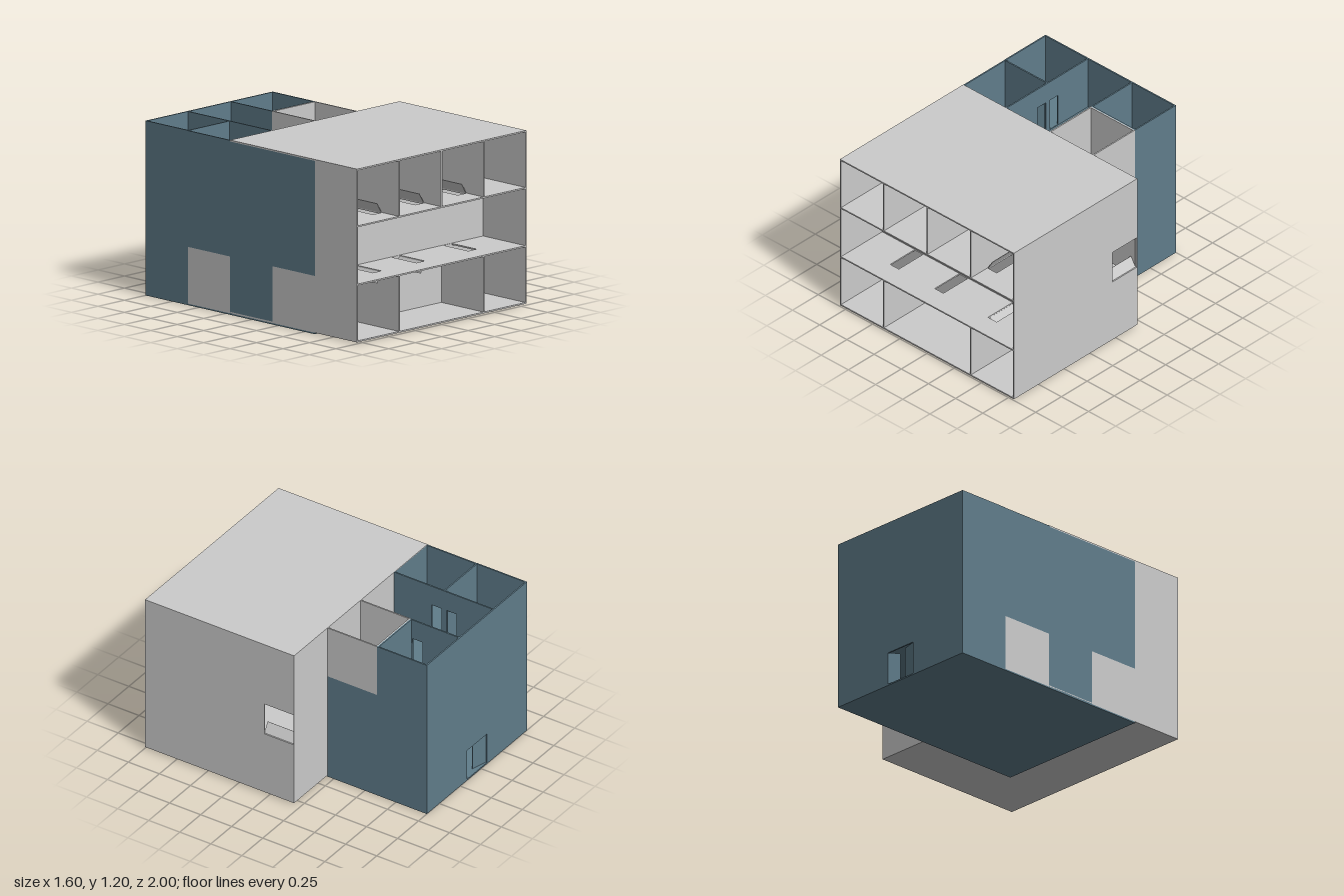
import * as THREE from 'three';

const T = 0.01; // panel thickness
const grey = new THREE.MeshStandardMaterial({ color: 0xcccccc, side: THREE.DoubleSide });
const teal = new THREE.MeshStandardMaterial({ color: 0x607d8b, side: THREE.DoubleSide });

const X = new THREE.Vector3(1, 0, 0), Y = new THREE.Vector3(0, 1, 0), Z = new THREE.Vector3(0, 0, 1);
// u, v and thickness directions for a panel facing each axis
const basis = {
  x: [Z, Y, X.clone().negate()], // u = z, v = y, fills at-T..at
  y: [X, Z, Y.clone().negate()], // u = x, v = z, fills at-T..at
  z: [X, Y, Z],                  // u = x, v = y, fills at..at+T
};

function rect(P, [u0, u1, v0, v1]) {
  const p = new P();
  p.moveTo(u0, v0).lineTo(u1, v0).lineTo(u1, v1).lineTo(u0, v1).closePath();
  return p;
}

export function createModel() {
  const model = new THREE.Group();

  // flat panel with optional rectangular openings
  function panel(name, mat, axis, at, area, holes = []) {
    const path = (P, r) => {
      const p = new P();
      const [u0, u1, v0, v1] = r;
      p.moveTo(u0, v0); p.lineTo(u1, v0); p.lineTo(u1, v1); p.lineTo(u0, v1); p.closePath();
      return p;
    };
    const shape = path(THREE.Shape, area);
    shape.holes = holes.map((h) => path(THREE.Path, h));
    const geo = new THREE.ExtrudeGeometry(shape, { depth: T, bevelEnabled: false });
    geo.applyMatrix4(new THREE.Matrix4().makeBasis(...basis[axis]));
    if (axis === 'x') geo.translate(at, 0, 0);
    if (axis === 'y') geo.translate(0, at, 0);
    if (axis === 'z') geo.translate(0, 0, at);
    const mesh = new THREE.Mesh(geo, mat);
    mesh.name = name;
    model.add(mesh);
  }

  // thin leaf hinged at a point, turned about z (hatch) or y (door)
  function flap(name, mat, axis, pos, deg, len = 0.08) {
    const size = axis === 'z' ? [len, 0.004, 0.24] : [len, 0.24, 0.004];
    const geo = new THREE.BoxGeometry(...size).translate(len / 2, 0, 0);
    const mesh = new THREE.Mesh(geo, mat);
    mesh.name = name;
    mesh.position.set(...pos);
    mesh.rotation[axis] = THREE.MathUtils.degToRad(deg);
    model.add(mesh);
  }

  // hatches: [hinge x, side of the hinge the opening lies on]
  const upper = [[-0.41, -1], [-0.01, -1], [0.39, -1], [0.41, 1]];
  const lower = [[-0.41, -1], [0, -1], [0.41, 1]];
  const slots = (list) => list.map(([x, s]) => [Math.min(x, x + s * 0.08), Math.max(x, x + s * 0.08), 0.605, 0.84]);

  // main block: floors and roof
  panel('groundFloor', grey, 'y', 0.02, [-0.8, 0.8, -0.2, 1]);
  panel('middleFloor', grey, 'y', 0.41, [-0.79, 0.8, -0.19, 1], slots(lower));
  panel('upperFloor', grey, 'y', 0.81, [-0.79, 0.8, -0.19, 1], slots(upper));
  panel('roof', grey, 'y', 1.2, [-0.8, 0.8, -0.2, 1]);
  for (const [x, s] of upper) flap('upperHatch', grey, 'z', [x, 0.81, 0.72], s > 0 ? 60 : 120);
  for (const [x, s] of lower) flap('lowerHatch', grey, 'z', [x, 0.4, 0.72], s > 0 ? -60 : -120);

  // main block: outer walls, with a window in the side
  panel('windowWall', grey, 'x', 0.8, [-0.2, 1, 0.01, 1.19], [[-0.195, 0.04, 0.48, 0.72]]);
  flap('windowLowerFlap', grey, 'z', [0.79, 0.48, -0.075], 120);
  flap('windowUpperFlap', grey, 'z', [0.79, 0.72, -0.075], 205);
  panel('sideWall', grey, 'x', -0.79, [0.6, 1, 0.01, 1.19]);
  panel('backWall', grey, 'z', -0.2, [-0.4, 0.79, 0.01, 1.19]);
  panel('frontRoomsBackWall', grey, 'z', 0.59, [-0.79, 0.79, 0.02, 1.19]);

  // partitions of the open front rooms
  for (const x of [-0.4, 0, 0.4]) panel('upperPartition', grey, 'x', x + T / 2, [0.6, 1, 0.81, 1.19]);
  for (const x of [-0.4, 0.4]) panel('lowerPartition', grey, 'x', x + T / 2, [0.6, 1, 0.02, 0.4]);

  // rear wing: base, floor and outer walls
  panel('wingBase', teal, 'y', 0.01, [-0.8, 0.4, -1, 0.6]);
  panel('wingMiddleFloor', teal, 'y', 0.41, [-0.79, 0.39, -0.99, -0.2]);
  panel('wingUpperFloor', teal, 'y', 0.81, [-0.79, 0.39, -0.99, -0.2]);
  panel('wingBackWall', teal, 'z', -1, [-0.8, 0.4, 0, 1.2], [[-0.32, -0.08, 0.01, 0.24]]);
  flap('entranceDoor', teal, 'y', [-0.32, 0.125, -0.99], -15, 0.12);
  flap('entranceDoor', teal, 'y', [-0.08, 0.125, -0.99], 240);
  panel('wingSideWall', teal, 'x', 0.4, [-1, -0.6, 0, 1.2]);
  panel('wingLowSideWall', teal, 'x', 0.4, [-0.6, -0.2, 0, 0.81]);
  panel('wingFrontWall', teal, 'z', -0.2, [-0.8, -0.4, 0.01, 1.195]);

  // long side wall, with two grey room walls at ground level
  panel('longWallEnd', teal, 'x', -0.79, [-1, -0.6, 0, 1.2]);
  panel('longWallUpper', teal, 'x', -0.79, [-0.6, 0.6, 0.4, 1.198]);
  panel('longWallLower', teal, 'x', -0.79, [-0.2, 0.2, 0, 0.4]);
  for (const z of [-0.6, 0.2]) panel('groundRoomWall', grey, 'x', -0.79, [z, z + 0.4, 0.01, 0.4]);

  // roofless rooms on the wing, with hinged doors
  const behind = [-0.7, -0.62, 0.815, 1.05], ahead = [-0.58, -0.5, 0.815, 1.05];
  panel('hallWall', teal, 'x', -0.4, [-0.99, -0.2, 0.81, 1.2], [behind, ahead]);
  flap('roomDoor', teal, 'y', [-0.41, 0.93, -0.62], 150);
  flap('roomDoor', teal, 'y', [-0.41, 0.93, -0.58], 210);
  panel('roomDivider', teal, 'z', -0.605, [-0.79, -0.41, 0.81, 1.2]);
  panel('cornerRoomWall', teal, 'x', 0.005, [-0.99, -0.6, 0.81, 1.2], [behind]);
  flap('roomDoor', teal, 'y', [0.005, 0.93, -0.62], 30);
  panel('cornerRoomDivider', teal, 'z', -0.61, [0, 0.39, 0.81, 1.2]);

  // grey room on the wing
  panel('greyRoomDivider', grey, 'z', -0.6, [0, 0.39, 0.81, 1.2]);
  panel('greyRoomInnerWall', grey, 'x', 0.005, [-0.6, -0.2, 0.81, 1.2]);
  panel('greyRoomOuterWall', grey, 'x', 0.4, [-0.6, -0.2, 0.81, 1.2]);

  return model;
}
